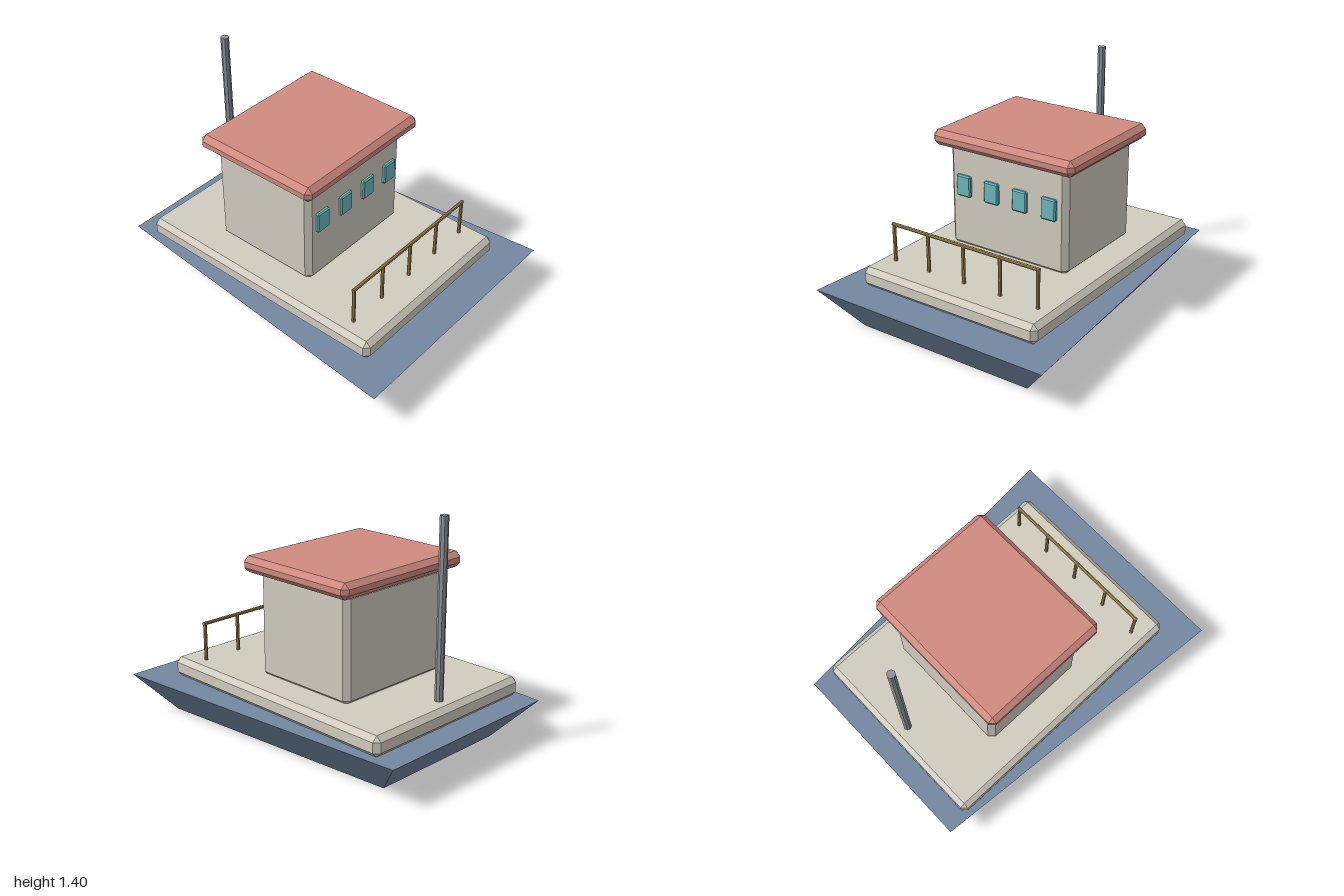
import * as THREE from 'three';
import { ConvexGeometry } from 'three/addons/geometries/ConvexGeometry.js';

const paint = (name, color) => {
  const m = new THREE.MeshStandardMaterial({ color });
  m.name = name;
  return m;
};

// Box with all edges cut by a single chamfer, given by its limits
function chamferBox([x0, x1], [y0, y1], [z0, z1], c) {
  const centre = new THREE.Vector3(x0 + x1, y0 + y1, z0 + z1).multiplyScalar(0.5);
  const half = new THREE.Vector3(x1 - x0, y1 - y0, z1 - z0).multiplyScalar(0.5);
  const points = [];
  for (const sx of [-1, 1]) for (const sy of [-1, 1]) for (const sz of [-1, 1]) {
    for (const axis of ['x', 'y', 'z']) {
      const p = half.clone().subScalar(c);
      p[axis] += c;
      points.push(p.multiply(new THREE.Vector3(sx, sy, sz)).add(centre));
    }
  }
  return new ConvexGeometry(points);
}

export function createModel() {
  const boat = new THREE.Group();
  boat.name = 'boat';

  const blue = paint('hull blue', 0x7488a2);
  const cream = paint('cream', 0xd2cdc0);
  const red = paint('roof red', 0xd08b81);
  const teal = paint('window teal', 0x6cb9bd);
  const brass = paint('rail brass', 0xa8905a);
  const grey = paint('mast grey', 0x8e949b);

  const add = (name, geometry, material, parent = boat) => {
    const mesh = new THREE.Mesh(geometry, material);
    mesh.name = name;
    parent.add(mesh);
    return mesh;
  };

  // Hull: wider at the front, sides sloping in to the flat bottom
  const hullPoints = [];
  for (const s of [-1, 1]) {
    hullPoints.push(
      new THREE.Vector3(s * 0.78, 0.24, 1), new THREE.Vector3(s * 0.625, 0.24, -1),
      new THREE.Vector3(s * 0.575, 0, 0.835), new THREE.Vector3(s * 0.457, 0, -0.785));
  }
  add('hull', new ConvexGeometry(hullPoints), blue);

  // Deck, cabin and roof
  add('deck', chamferBox([-0.605, 0.605], [0.24, 0.36], [-0.87, 0.81], 0.03), cream);
  add('cabin', chamferBox([-0.41, 0.41], [0.345, 0.99], [-0.465, 0.23], 0.032), cream);
  add('roof', chamferBox([-0.485, 0.485], [0.975, 1.07], [-0.525, 0.3], 0.031), red);

  // Front windows
  const windows = new THREE.Group();
  windows.name = 'windows';
  boat.add(windows);
  for (const x of [-0.297, -0.099, 0.099, 0.297]) {
    add('window', chamferBox([x - 0.05, x + 0.05], [0.677, 0.808], [0.22, 0.25], 0.008), teal, windows);
  }

  // Front railing
  const railing = new THREE.Group();
  railing.name = 'railing';
  boat.add(railing);
  const post = new THREE.CylinderGeometry(0.011, 0.011, 0.245, 8).toNonIndexed();
  post.computeVertexNormals();
  for (let i = 0; i < 5; i++) {
    add('railPost', post, brass, railing).position.set(-0.5 + i * 0.25, 0.4725, 0.63);
  }
  const bar = new THREE.CylinderGeometry(0.011, 0.011, 1.02, 8).toNonIndexed();
  bar.computeVertexNormals();
  const topRail = add('topRail', bar, brass, railing);
  topRail.rotation.z = Math.PI / 2;
  topRail.position.set(0, 0.589, 0.63);

  // Mast at the back
  const pole = new THREE.CylinderGeometry(0.025, 0.025, 1.05, 8).toNonIndexed();
  pole.computeVertexNormals();
  add('mast', pole, grey).position.set(0, 0.875, -0.77);

  return boat;
}
